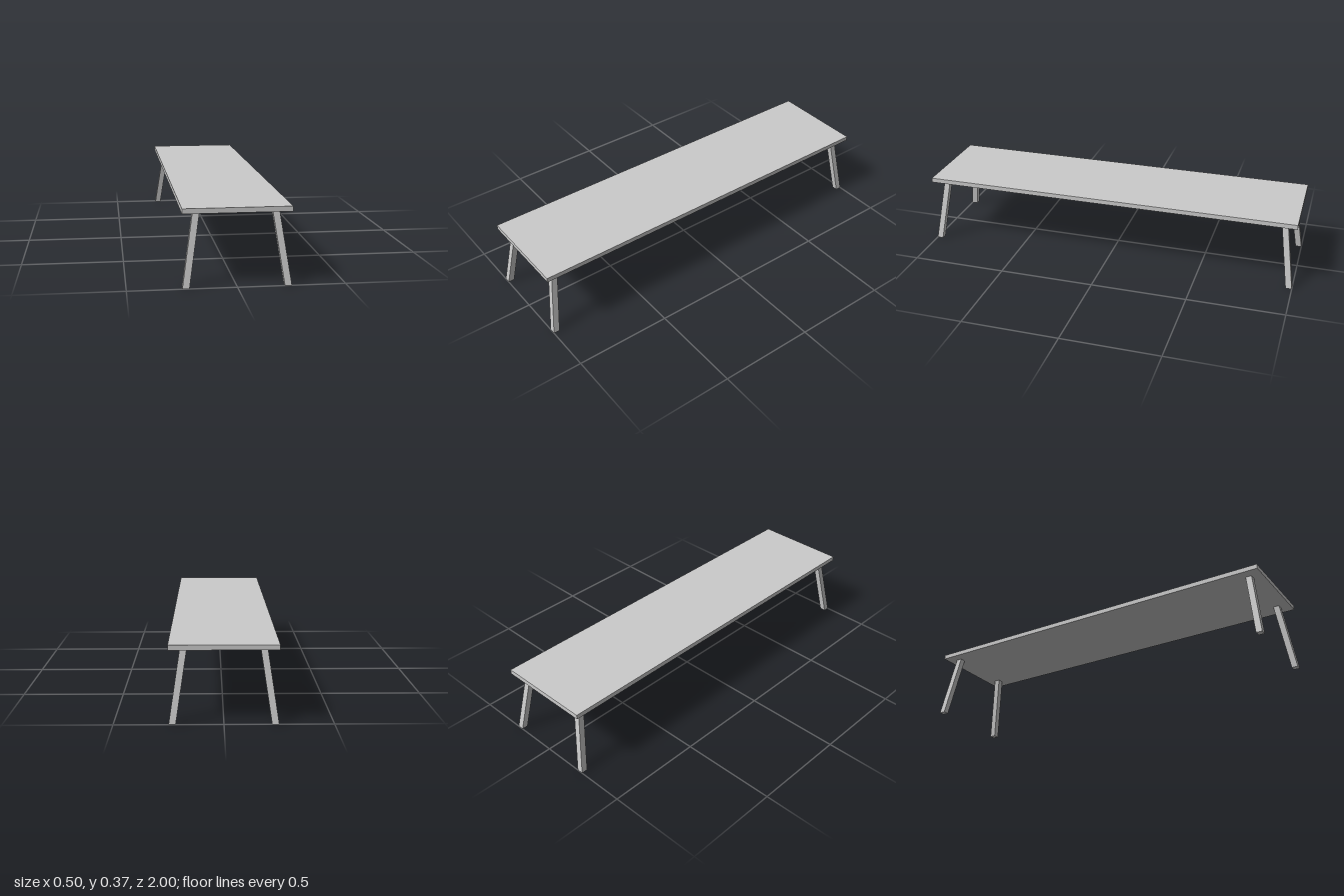
import * as THREE from 'three';

const LENGTH = 2, WIDTH = 0.5, HEIGHT = 0.368, THICK = 0.024;
const LEG = 0.032;    // square leg section
const SPLAY = 0.052;  // how far each leg top leans inward on both axes

export function createModel() {
  const model = new THREE.Group();
  model.name = 'bench';
  const material = new THREE.MeshStandardMaterial({ color: 0xcccccc, flatShading: true });

  // Flat plank top
  const top = new THREE.Mesh(new THREE.BoxGeometry(WIDTH, THICK, LENGTH), material);
  top.name = 'tabletop';
  top.position.y = HEIGHT - THICK / 2;
  model.add(top);

  // Four splayed legs: boxes sheared inward, with level feet flush to the top's corners
  const legHeight = HEIGHT - THICK;
  for (const [sz, end] of [[1, 'front'], [-1, 'back']]) {
    for (const [sx, side] of [[1, 'Left'], [-1, 'Right']]) {
      const geometry = new THREE.BoxGeometry(LEG, legHeight, LEG);
      geometry.translate(0, legHeight / 2, 0);
      const lean = SPLAY / legHeight;
      geometry.applyMatrix4(new THREE.Matrix4().set(
        1, -sx * lean, 0, 0,
        0, 1, 0, 0,
        0, -sz * lean, 1, 0,
        0, 0, 0, 1
      ));
      geometry.computeVertexNormals();
      const leg = new THREE.Mesh(geometry, material);
      leg.name = `${end}${side}Leg`;
      leg.position.set(sx * (WIDTH - LEG) / 2, 0, sz * (LENGTH - LEG) / 2);
      model.add(leg);
    }
  }
  return model;
}
